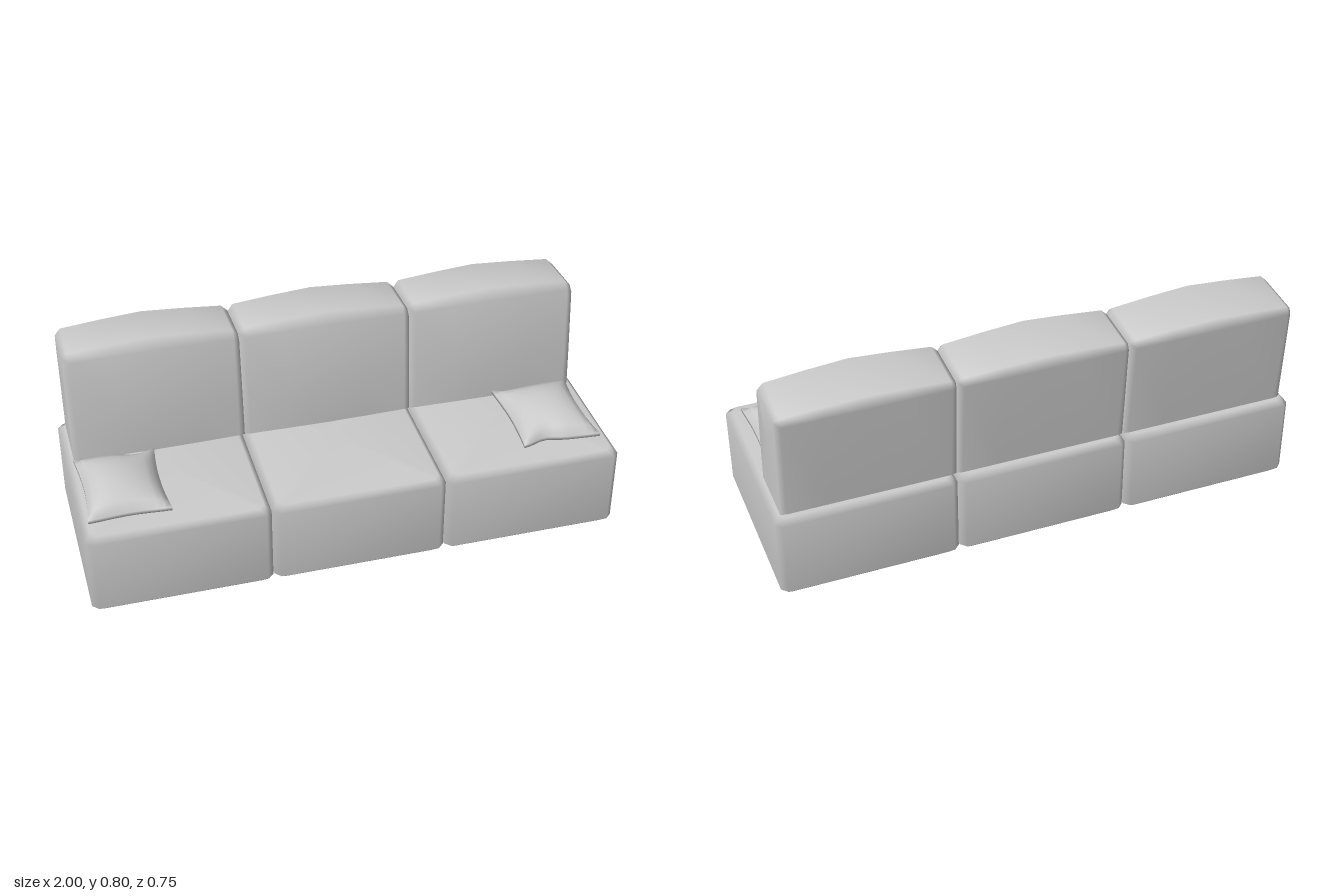
import * as THREE from 'three';
import { mergeVertices } from 'three/addons/utils/BufferGeometryUtils.js';

const material = new THREE.MeshStandardMaterial({ color: 0xcccccc, side: THREE.DoubleSide });

// Skin a list of rings (arrays of [x, y, z]); each chosen end is closed with a fan
function loft(rings, { closed = true, capStart = false, capEnd = false }) {
  const n = rings[0].length;
  const positions = rings.flat(2);
  const index = [];
  for (let i = 0; i < rings.length - 1; i++) {
    for (let j = 0; j < (closed ? n : n - 1); j++) {
      const k = (j + 1) % n;
      const a = i * n + j, b = i * n + k, c = a + n, d = b + n;
      index.push(a, b, d, a, d, c);
    }
  }
  const cap = (row, flip) => {
    const centre = positions.length / 3;
    for (let axis = 0; axis < 3; axis++) {
      positions.push(rings[row].reduce((sum, p) => sum + p[axis], 0) / n);
    }
    for (let j = 0; j < n; j++) {
      const a = row * n + j, b = row * n + (j + 1) % n;
      index.push(centre, flip ? b : a, flip ? a : b);
    }
  };
  if (capStart) cap(0, true);
  if (capEnd) cap(rings.length - 1, false);
  const geometry = new THREE.BufferGeometry();
  geometry.setAttribute('position', new THREE.Float32BufferAttribute(positions, 3));
  geometry.setIndex(index);
  geometry.computeVertexNormals();
  return geometry;
}

function addMesh(group, name, geometry) {
  const mesh = new THREE.Mesh(geometry, material);
  mesh.name = name;
  group.add(mesh);
  return mesh;
}

// Hollow seat block with chamfered edges, open underneath
function seatGeometry(width) {
  const bevel = 0.022;
  const ring = (y, inset) => {
    const x = width / 2 - inset, z = 0.3725 - inset, c = bevel;
    return [[-x + c, z], [x - c, z], [x, z - c], [x, -z + c],
      [x - c, -z], [-x + c, -z], [-x, -z + c], [-x, z - c]].map(([px, pz]) => [px, y, pz]);
  };
  return loft([ring(0, bevel), ring(bevel, 0), ring(0.338 - bevel, 0), ring(0.338, bevel)],
    { capEnd: true });
}

// Leaning back cushion: side profiles [z, y] that swell towards the middle
function backGeometry() {
  const end = [[-0.33, 0.338], [-0.352, 0.72], [-0.342, 0.74], [-0.16, 0.754], [-0.137, 0.735], [-0.113, 0.5], [-0.1, 0.338]];
  const edge = [[-0.335, 0.338], [-0.37, 0.73], [-0.356, 0.757], [-0.155, 0.774], [-0.128, 0.75], [-0.103, 0.5], [-0.097, 0.338]];
  const middle = [[-0.335, 0.338], [-0.372, 0.73], [-0.364, 0.777], [-0.15, 0.797], [-0.11, 0.765], [-0.086, 0.5], [-0.092, 0.338]];
  const ring = (x, swell) => edge.map(([z, y], i) => [
    x,
    THREE.MathUtils.lerp(y, middle[i][1], swell),
    THREE.MathUtils.lerp(z, middle[i][0], swell),
  ]);
  const endRing = (x) => end.map(([z, y]) => [x, y, z]);
  return loft([endRing(-0.323), ring(-0.302, 0), ring(-0.15, 0.58), ring(0, 1),
    ring(0.15, 0.58), ring(0.302, 0), endRing(0.323)],
  { closed: false, capStart: true, capEnd: true });
}

// Soft pillow: a thin gridded box puffed up, with pinched sides and pointed corners
function pillowGeometry() {
  let geometry = new THREE.BoxGeometry(2, 2, 2, 12, 1, 12);
  geometry.deleteAttribute('normal');
  geometry.deleteAttribute('uv');
  geometry = mergeVertices(geometry);
  const p = geometry.attributes.position;
  for (let i = 0; i < p.count; i++) {
    const u = p.getX(i), side = p.getY(i), v = p.getZ(i);
    const puff = Math.sqrt((1 - u * u) * (1 - v * v));
    const corner = (u * v) ** 4;
    const crease = v < 0 ? 0.02 * v * v * Math.exp(-(((u - 0.4) / 0.35) ** 2)) : 0;
    const x = 0.15 * u * (1 - 0.09 * (1 - v * v));
    const z = 0.183 * v * (1 - 0.09 * (1 - u * u)) + crease;
    const middle = 0.361 + 0.006 * corner;
    const y = side > 0
      ? middle + 0.007 + 0.062 * puff * (1 - 0.18 * u)
      : middle - 0.007 - 0.013 * puff ** 0.5;
    p.setXYZ(i, x, y, z);
  }
  geometry.computeVertexNormals();
  return geometry;
}

export function createModel() {
  const sofa = new THREE.Group();
  sofa.name = 'sofa';

  // Three seat modules, each with a back cushion
  const back = backGeometry();
  const modules = [['right', -1], ['middle', 0], ['left', 1]];
  for (const [label, s] of modules) {
    const seat = addMesh(sofa, `${label}Seat`, seatGeometry(s ? 0.67 : 0.65));
    seat.position.x = s * 0.664;
    addMesh(sofa, `${label}BackCushion`, back).position.x = s * 0.648;
  }

  // Loose pillows at both ends, turned half a circle from each other
  const pillow = pillowGeometry();
  addMesh(sofa, 'rightPillow', pillow).position.set(-0.826, 0, 0.12);
  const leftPillow = addMesh(sofa, 'leftPillow', pillow);
  leftPillow.position.set(0.801, 0, 0.105);
  leftPillow.rotation.y = Math.PI;

  return sofa;
}
